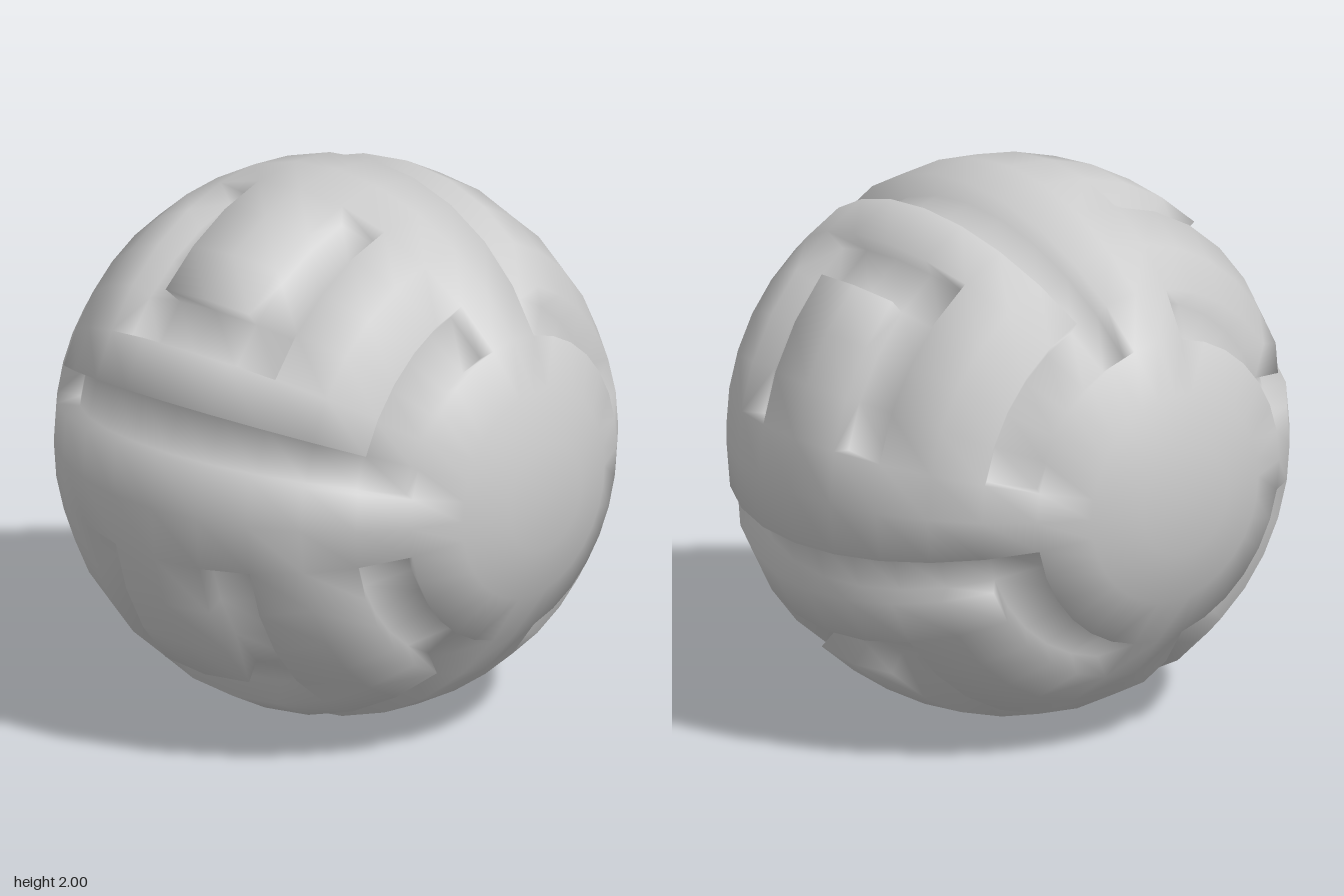
import * as THREE from 'three';

const SEG = 32;           // segments around the z axis
const TOP = 7;            // last ring before the flat end caps
const STEP = Math.PI / 16;
const FLOOR = 0.915;      // radius of the groove floors

// Groove layout: four identical pinwheel sectors of 8 cells, mirrored front to back
function isGroove(i, j) {
  const k = (i + 1 + SEG) % 8;            // cell within its sector
  const band = j >= 0 ? j : -j - 1;       // distance from the equator
  if (band > 4 || k < 2) return false;    // end domes and ridges
  if (k === 7) return true;               // long groove beside the next ridge
  if (band === 4) return true;            // arc groove around the dome
  if (band === 0) return k === 5;         // end of the U groove
  if (band === 1) return k <= 5;          // arms of the U groove
  return false;
}

function createShell() {
  const positions = [], index = [], ids = new Map();

  // Shared vertex on the grid, at outer or floor level
  function vertex(i, j, low) {
    i = (i + SEG) % SEG;
    const key = `${i},${j},${low}`;
    if (!ids.has(key)) {
      const r = low ? FLOOR : 1, a = i * STEP, lat = j * STEP;
      ids.set(key, positions.length / 3);
      positions.push(r * Math.cos(lat) * Math.cos(a), r * Math.cos(lat) * Math.sin(a), r * Math.sin(lat));
    }
    return ids.get(key);
  }
  const quad = (a, b, c, d) => index.push(a, b, c, a, c, d);

  for (let j = -TOP; j < TOP; j++) {
    for (let i = 0; i < SEG; i++) {
      const low = isGroove(i, j);
      const corners = [[i, j], [i + 1, j], [i + 1, j + 1], [i, j + 1]];
      quad(...corners.map(([u, v]) => vertex(u, v, low)));
      if (!low) continue;
      // Walls wherever a groove meets the outer surface
      const neighbours = [[i, j - 1], [i + 1, j], [i, j + 1], [i - 1, j]];
      neighbours.forEach(([u, v], e) => {
        if (isGroove(u, v)) return;
        const a = corners[e], b = corners[(e + 1) % 4];
        quad(vertex(...a, true), vertex(...a, false), vertex(...b, false), vertex(...b, true));
      });
    }
  }

  // Flat end caps
  for (const s of [1, -1]) {
    const centre = positions.length / 3;
    positions.push(0, 0, s * Math.sin(TOP * STEP));
    for (let i = 0; i < SEG; i++) {
      const a = vertex(i, s * TOP, false), b = vertex(i + 1, s * TOP, false);
      index.push(centre, ...(s > 0 ? [a, b] : [b, a]));
    }
  }

  const geometry = new THREE.BufferGeometry();
  geometry.setAttribute('position', new THREE.Float32BufferAttribute(positions, 3));
  geometry.setIndex(index);
  geometry.computeVertexNormals();
  return geometry;
}

export function createModel() {
  const group = new THREE.Group();
  group.name = 'groovedSphere';
  const shell = new THREE.Mesh(createShell(), new THREE.MeshStandardMaterial({ color: 0xcccccc }));
  shell.name = 'groovedShell';
  shell.position.y = 1;
  group.add(shell);
  return group;
}
